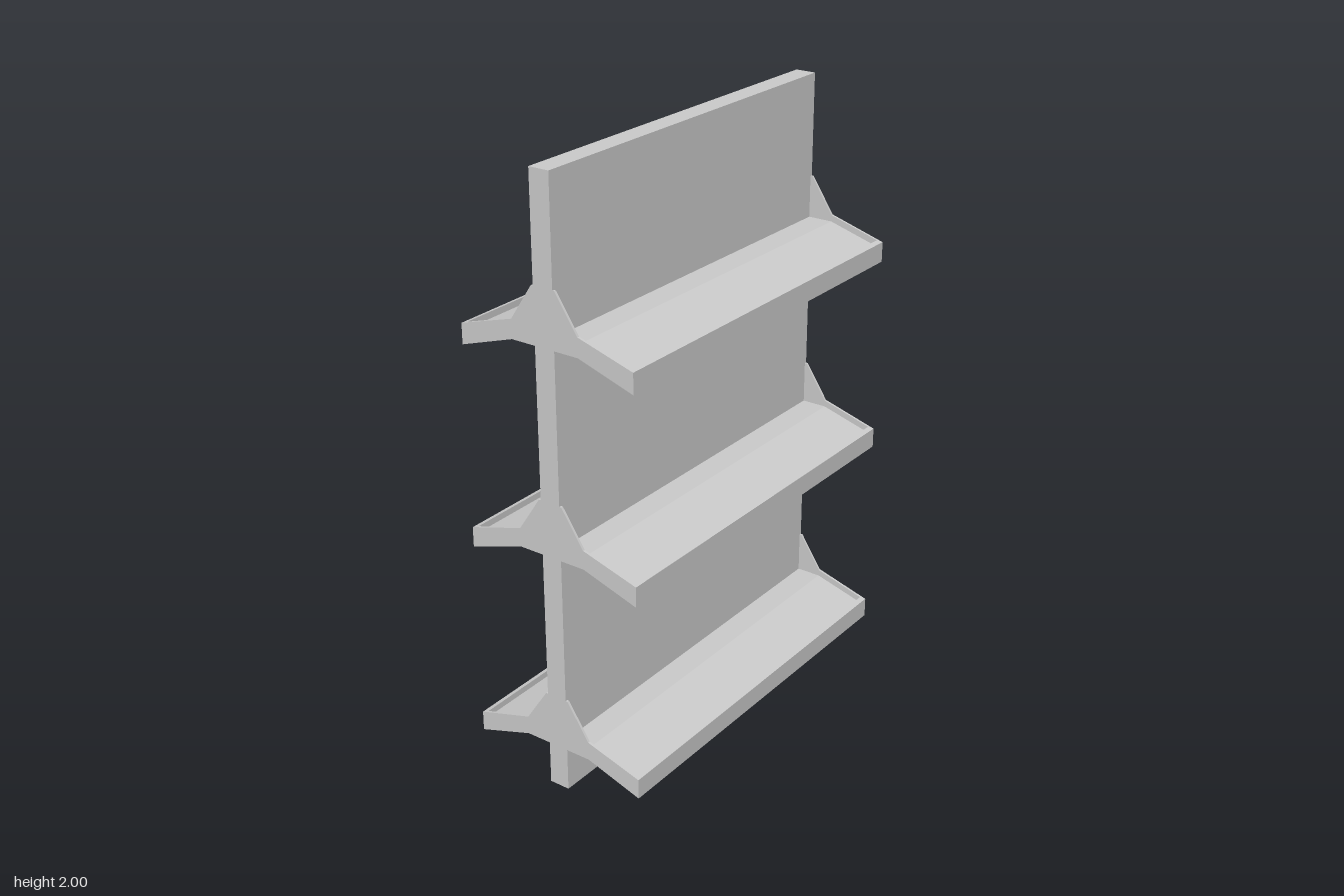
import * as THREE from 'three';

const HALF = 0.665;   // half width of the unit
const PLATE = 0.008;  // end bracket thickness
const GAP = 0.667;    // vertical shelf spacing

// Extrude a side profile of [z, y] points along x, centred at x
function sideExtrude(name, points, width, x, material) {
  const shape = new THREE.Shape(points.map(([z, y]) => new THREE.Vector2(z, y)));
  const geo = new THREE.ExtrudeGeometry(shape, { depth: width, bevelEnabled: false });
  geo.translate(0, 0, -width / 2);
  geo.rotateY(-Math.PI / 2);
  geo.translate(x, 0, 0);
  const mesh = new THREE.Mesh(geo, material);
  mesh.name = name;
  return mesh;
}

// One sloping shelf with a front lip and two end brackets
function createShelf(material) {
  const shelf = new THREE.Group();
  const tray = [
    [0.035, 0.145], [0.12, 0.145], [0.312, 0.083], [0.312, 0.15],
    [0.295, 0.155], [0.295, 0.134], [0.12, 0.185], [0.035, 0.185],
  ];
  const bracket = [
    [0.035, 0.145], [0.12, 0.145], [0.312, 0.083], [0.312, 0.15],
    [0.12, 0.207], [0.042, 0.325], [0.035, 0.325],
  ];
  shelf.add(sideExtrude('shelfTray', tray, 2 * (HALF - PLATE), 0, material));
  for (const side of [-1, 1]) {
    const name = side > 0 ? 'leftBracket' : 'rightBracket';
    shelf.add(sideExtrude(name, bracket, PLATE, side * (HALF - PLATE / 2), material));
  }
  return shelf;
}

export function createModel() {
  const model = new THREE.Group();
  model.name = 'doubleSidedShelf';
  const material = new THREE.MeshStandardMaterial({ color: 0xcccccc, flatShading: true });

  // Central upright panel
  const panel = new THREE.Mesh(new THREE.BoxGeometry(2 * HALF, 2, 0.07), material);
  panel.name = 'centrePanel';
  panel.position.y = 1;
  model.add(panel);

  // Three levels of shelves, on the front and the back
  for (let i = 0; i < 3; i++) {
    for (const face of ['front', 'back']) {
      const shelf = createShelf(material);
      shelf.name = `${face}Shelf${i + 1}`;
      shelf.position.y = i * GAP;
      if (face === 'back') shelf.rotation.y = Math.PI;
      model.add(shelf);
    }
  }
  return model;
}
